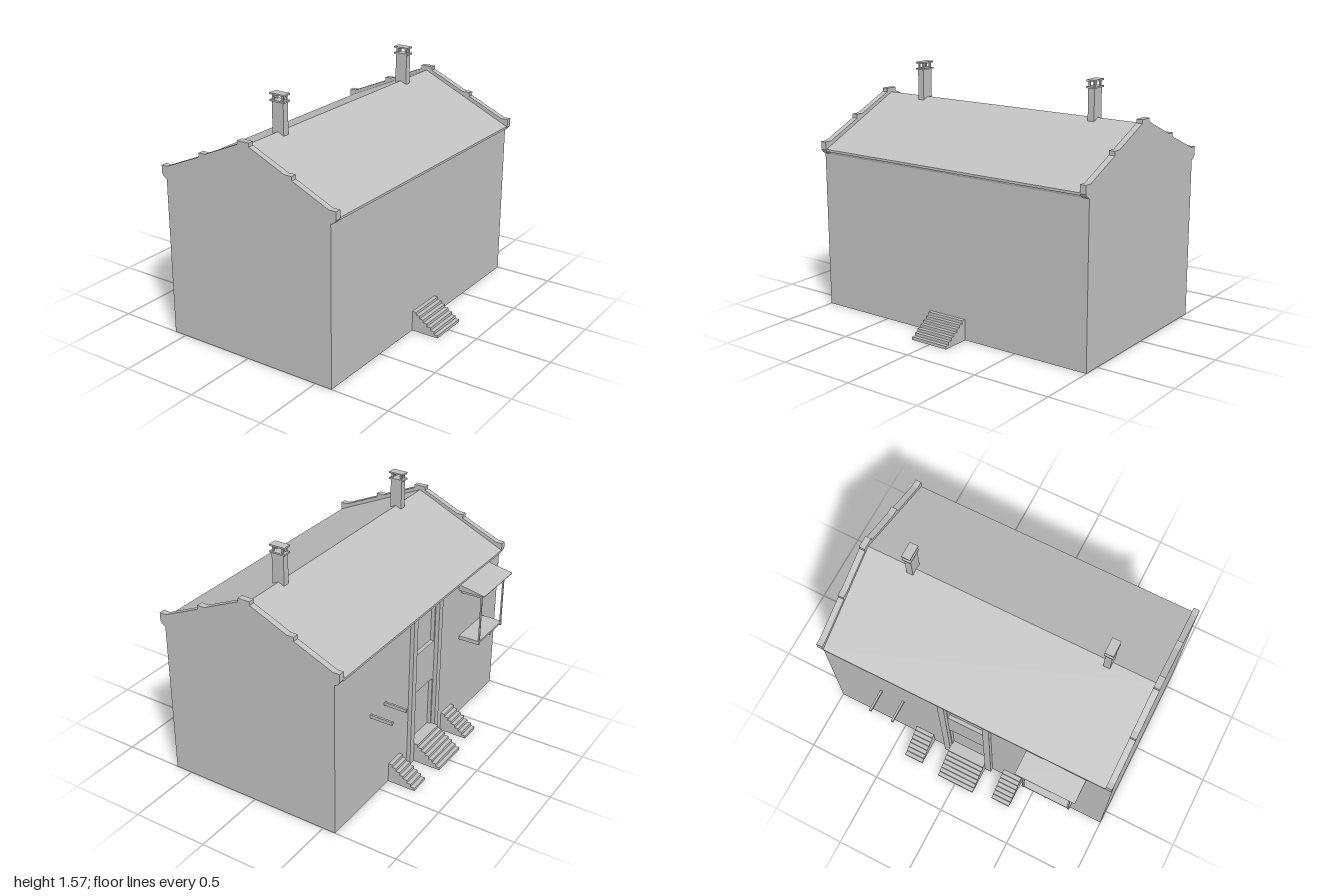
import * as THREE from 'three';

const stone = new THREE.MeshStandardMaterial({ color: 0xc0c0c0 });
stone.name = 'pale stone grey';

export function createModel() {
  const house = new THREE.Group();
  house.name = 'house';

  const add = (name, geometry, parent = house) => {
    const mesh = new THREE.Mesh(geometry, stone);
    mesh.name = name;
    parent.add(mesh);
    return mesh;
  };

  // Box given by its limits on each axis
  const box = (name, x0, x1, y0, y1, z0, z1, parent) => {
    const g = new THREE.BoxGeometry(x1 - x0, y1 - y0, z1 - z0);
    g.translate((x0 + x1) / 2, (y0 + y1) / 2, (z0 + z1) / 2);
    return add(name, g, parent);
  };

  // Side profile of [z, y] points swept from x0 to x1
  const sweep = (name, points, x0, x1, parent) => {
    const shape = new THREE.Shape(points.map(([z, y]) => new THREE.Vector2(-z, y)));
    const g = new THREE.ExtrudeGeometry(shape, { depth: x1 - x0, bevelEnabled: false });
    g.rotateY(Math.PI / 2);
    g.translate(x0, 0, 0);
    return add(name, g, parent);
  };

  // Main block with roof slopes and projecting eaves
  sweep('bodyAndRoof', [
    [0.615, 0], [0.615, 1.02], [0.622, 1.04], [0.645, 1.04], [0.645, 1.055],
    [0.013, 1.345],
    [-0.619, 1.055], [-0.619, 1.04], [-0.592, 1.04], [-0.585, 1.02], [-0.56, 1.02], [-0.56, 0],
  ], -0.96, 0.96);

  // Gable walls rising above the roof, with kneelers and raised coping blocks
  const gable = [
    [0.615, 0], [0.615, 1.021], [0.636, 1.032], [0.65, 1.051], [0.65, 1.103], [0.603, 1.103],
    [0.355, 1.214], [0.355, 1.24], [0.303, 1.24],
    [0.056, 1.35], [0.056, 1.373], [-0.026, 1.373], [-0.026, 1.35],
    [-0.274, 1.24], [-0.32, 1.24], [-0.32, 1.214],
    [-0.577, 1.103], [-0.62, 1.103], [-0.62, 1.051], [-0.606, 1.032], [-0.585, 1.021], [-0.585, 0],
  ];
  sweep('leftGable', gable, 0.96, 1);
  sweep('rightGable', gable, -1, -0.96);

  // Back wall skin with a recessed doorway and upper opening
  const wall = new THREE.Shape();
  wall.moveTo(-0.96, 0).lineTo(0.96, 0).lineTo(0.96, 1.02).lineTo(-0.96, 1.02).closePath();
  const r = 0.02;
  const door = new THREE.Path();
  door.moveTo(-0.125, 0.13).lineTo(-0.125, 0.48 - r).quadraticCurveTo(-0.125, 0.48, -0.125 + r, 0.48)
    .lineTo(0.125 - r, 0.48).quadraticCurveTo(0.125, 0.48, 0.125, 0.48 - r).lineTo(0.125, 0.13).closePath();
  const opening = new THREE.Path();
  opening.moveTo(-0.125, 0.755).lineTo(-0.125, 1.01).lineTo(0.125, 1.01).lineTo(0.125, 0.755).closePath();
  wall.holes.push(door, opening);
  const skin = new THREE.ExtrudeGeometry(wall, { depth: 0.025, bevelEnabled: false, curveSegments: 4 });
  skin.translate(0, 0, -0.585);
  add('backWall', skin);

  // Pilasters beside the back door
  box('leftPilaster', 0.13, 0.175, 0, 1.045, -0.611, -0.58);
  box('rightPilaster', -0.18, -0.135, 0, 1.045, -0.611, -0.58);

  // Stepped flights against the walls
  const stairs = (name, x0, x1, zWall, zEnd) => {
    const n = 7, height = 0.133, points = [[zWall, 0], [zEnd, 0]];
    for (let i = 0; i < n; i++) {
      const y = height * (i + 1) / n;
      points.push([zEnd + (zWall - zEnd) * i / n, y]);
      points.push([zEnd + (zWall - zEnd) * (i + 1) / n, y]);
    }
    sweep(name, points, x0, x1);
  };
  stairs('frontSteps', -0.135, 0.13, 0.615, 0.8);
  stairs('backDoorSteps', -0.135, 0.13, -0.611, -0.798);
  box('backDoorLanding', -0.135, 0.13, 0, 0.133, -0.611, -0.58);
  stairs('backLeftSteps', 0.268, 0.4, -0.585, -0.772);
  stairs('backRightSteps', -0.4, -0.268, -0.585, -0.772);

  // Chimneys with a raised cap on four posts
  for (const x of [-0.662, 0.652]) {
    const chimney = new THREE.Group();
    chimney.name = 'chimney';
    house.add(chimney);
    box('chimneyStack', x - 0.022, x + 0.022, 1.32, 1.524, -0.026, 0.056, chimney);
    for (const y of [1.523, 1.564])
      box('chimneySlab', x - 0.029, x + 0.029, y, y + 0.01, -0.038, 0.067, chimney);
    for (const sx of [-1, 1]) for (const z of [-0.018, 0.048]) {
      const px = x + sx * 0.016;
      box('chimneyPost', px - 0.005, px + 0.005, 1.53, 1.566, z - 0.006, z + 0.006, chimney);
    }
  }

  // Covered balcony on the back wall
  const balcony = new THREE.Group();
  balcony.name = 'balcony';
  house.add(balcony);
  sweep('canopy', [[-0.58, 1.017], [-0.765, 0.98], [-0.765, 0.975], [-0.58, 0.975]], -0.835, -0.435, balcony);
  box('balconyFloor', -0.8, -0.47, 0.613, 0.626, -0.731, -0.58, balcony);
  for (const x of [-0.793, -0.635, -0.477])
    box('floorJoist', x - 0.007, x + 0.007, 0.6, 0.614, -0.731, -0.58, balcony);
  for (const x of [-0.79, -0.48]) {
    box('canopyBeam', x - 0.01, x + 0.01, 0.942, 0.976, -0.731, -0.58, balcony);
    box('balconyPost', x - 0.005, x + 0.005, 0.62, 0.945, -0.731, -0.721, balcony);
  }

  // Bare brackets on the other side of the door
  for (const x of [0.46, 0.62])
    box('wallBracket', x - 0.007, x + 0.007, 0.6, 0.622, -0.735, -0.58);

  return house;
}
